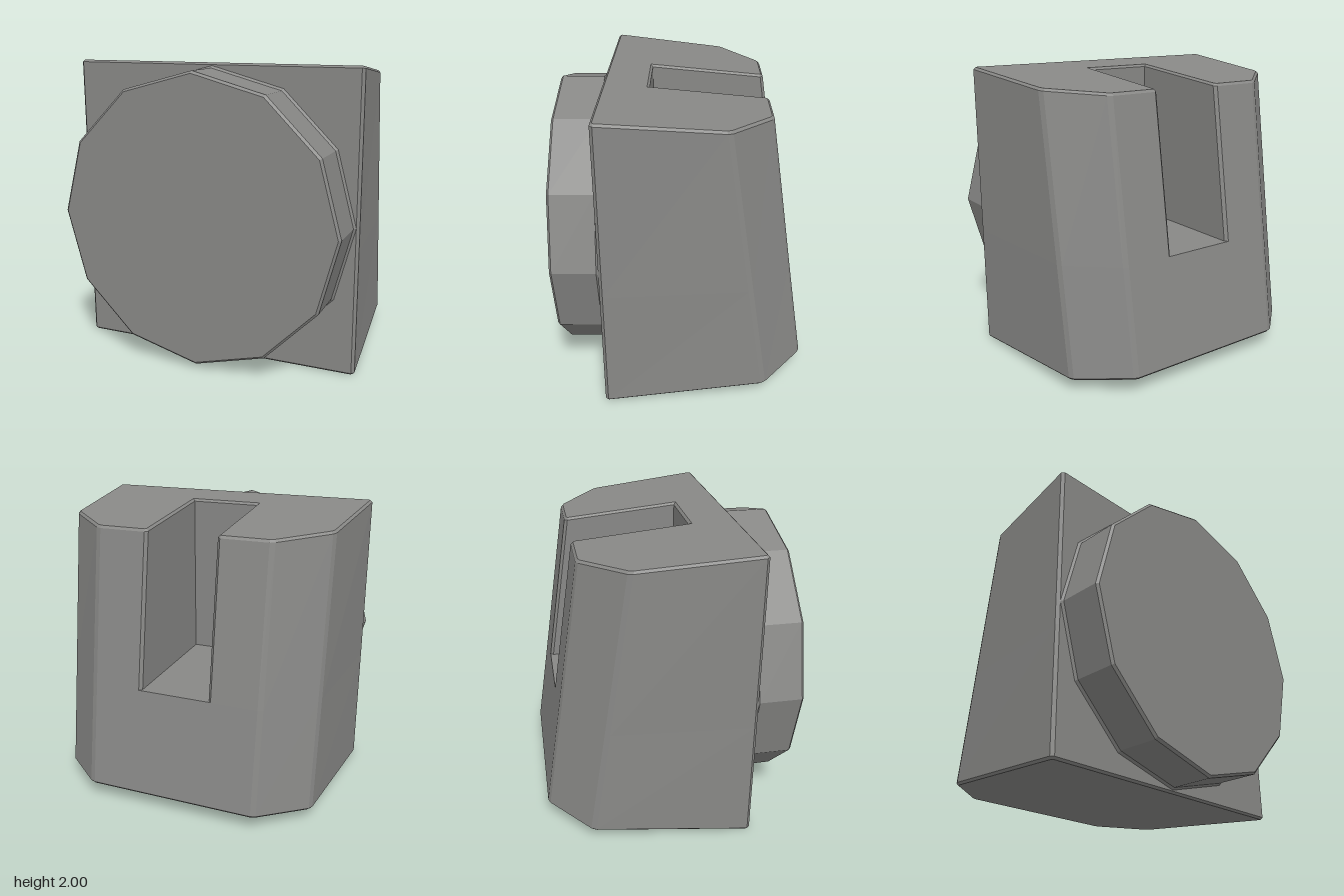
import * as THREE from 'three';

const BEVEL = 0.015;
const FLOOR = 0.84; // height of the slot floor
const topY = (z) => 2 - 0.0935 * (0.51 - z);
const bottomY = (z) => 0.082 * (0.51 - z);

// Plan outline at height y as (x, -z), counter-clockwise from above
function outline(y, slotted) {
  const back = 0.83 - 0.15 * (y - 0.1);
  const half = [[1, -0.52], [0.92, back - 0.28], [0.6, back]];
  if (slotted) half.push([0.24, back], [0.24, -0.22]);
  const mirrored = half.map(([x, v]) => [-x, v]).reverse();
  return [...half, ...mirrored].map(([x, v]) => new THREE.Vector2(x, v));
}

// Cut the convex corners of an outline
function chamfer(points, c) {
  const n = points.length;
  return points.flatMap((p, i) => {
    const a = points[(i + n - 1) % n].clone().sub(p).normalize();
    const b = points[(i + 1) % n].clone().sub(p).normalize();
    if (b.cross(a) < 0) return [p];
    return [p.clone().addScaledVector(a, c), p.clone().addScaledVector(b, c)];
  });
}

// Move an outline inwards with mitred corners
function inset(points, d) {
  const n = points.length;
  const normal = (a, b) => new THREE.Vector2(a.y - b.y, b.x - a.x).normalize();
  return points.map((p, i) => {
    const n1 = normal(points[(i + n - 1) % n], p);
    const n2 = normal(p, points[(i + 1) % n]);
    return p.clone().addScaledVector(n1.clone().add(n2), d / (1 + n1.dot(n2)));
  });
}

// A ring of 3D points; height is a function of z
function ring(y, slotted, d, height) {
  const flat = inset(chamfer(outline(y, slotted), 0.02), d);
  return flat.map((p) => new THREE.Vector3(p.x, height(-p.y), -p.y));
}

// Flat-sided skin through rings, optionally capped below and above
function loft(rings, capBottom, capTop) {
  const out = [];
  const tri = (...corners) => corners.forEach((p) => out.push(p.x, p.y, p.z));
  for (let r = 0; r + 1 < rings.length; r++) {
    const lo = rings[r], hi = rings[r + 1], n = lo.length;
    for (let i = 0; i < n; i++) {
      const j = (i + 1) % n;
      tri(lo[i], lo[j], hi[j]);
      tri(lo[i], hi[j], hi[i]);
    }
  }
  const cap = (pts, up) => {
    const flat = pts.map((p) => new THREE.Vector2(p.x, -p.z));
    for (const [a, b, c] of THREE.ShapeUtils.triangulateShape(flat, [])) {
      if (up) tri(pts[a], pts[b], pts[c]);
      else tri(pts[a], pts[c], pts[b]);
    }
  };
  if (capBottom) cap(rings[0], false);
  if (capTop) cap(rings[rings.length - 1], true);
  const geometry = new THREE.BufferGeometry();
  geometry.setAttribute('position', new THREE.Float32BufferAttribute(out, 3));
  geometry.computeVertexNormals();
  return geometry;
}

export function createModel() {
  const group = new THREE.Group();
  const grey = new THREE.MeshStandardMaterial({ color: 0x888886 });
  grey.name = 'grey';
  const add = (name, geometry) => {
    const mesh = new THREE.Mesh(geometry, grey);
    mesh.name = name;
    group.add(mesh);
    return mesh;
  };

  // Solid lower block; its top is the slot floor
  add('lowerBody', loft([
    ring(0.1, false, BEVEL, bottomY),
    ring(0.1, false, 0, (z) => bottomY(z) + BEVEL),
    ring(FLOOR, false, 0, () => FLOOR),
  ], true, true));

  // Upper block with the slot open to the back
  add('upperBody', loft([
    ring(FLOOR, true, 0, () => FLOOR),
    ring(1.9, true, 0, (z) => topY(z) - BEVEL),
    ring(1.9, true, BEVEL, topY),
  ], false, true));

  // Twelve-sided front disc with a small flare at its base
  const profile = [[0.985, 0.515], [0.966, 0.535], [0.966, 0.815], [0.95, 0.83], [0, 0.83]]
    .map(([r, h]) => new THREE.Vector2(r, h));
  const disc = new THREE.LatheGeometry(profile, 12).toNonIndexed();
  disc.computeVertexNormals();
  disc.rotateX(Math.PI / 2);
  add('frontDisc', disc).position.y = 1;

  return group;
}
